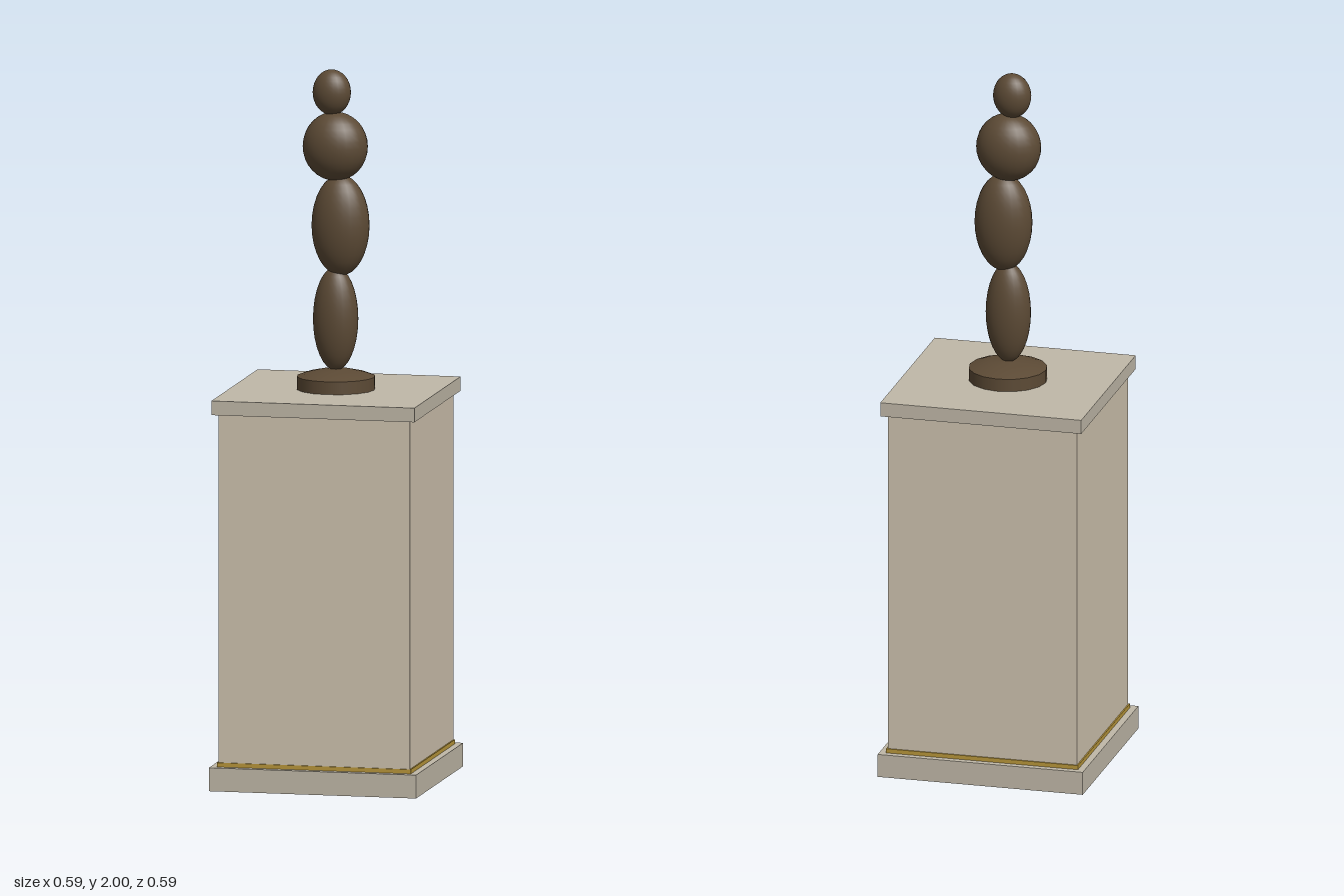
import * as THREE from 'three';

const mat = (color) => new THREE.MeshStandardMaterial({ color });

export function createModel() {
  const model = new THREE.Group();
  const stone = mat(0xc0b8a8), panel = mat(0xcec2ae), gold = mat(0xb8963a), bronze = mat(0x5c4a35);

  const add = (name, geometry, material, x = 0, y = 0) => {
    const mesh = new THREE.Mesh(geometry, material);
    mesh.name = name;
    mesh.position.set(x, y, 0);
    model.add(mesh);
    return mesh;
  };
  const slab = (name, half, y0, y1, material) =>
    add(name, new THREE.BoxGeometry(half * 2, y1 - y0, half * 2), material, 0, (y0 + y1) / 2);

  // Square pedestal
  slab('pedestalBase', 0.296, 0, 0.066, stone);
  slab('goldTrim', 0.277, 0.066, 0.078, gold);
  slab('pedestalShaft', 0.273, 0.078, 1.06, panel);
  slab('pedestalCap', 0.29, 1.06, 1.1, stone);

  // Round foot: straight rim and a shallow domed top
  add('footRim', new THREE.CylinderGeometry(0.11, 0.11, 0.036, 16), bronze, 0, 1.118);
  const dome = [[0.11, 1.136], [0.085, 1.145], [0.05, 1.153], [0, 1.158]]
    .map(([r, y]) => new THREE.Vector2(r, y));
  add('footDome', new THREE.LatheGeometry(dome, 16), bronze);

  // Stacked ellipsoids: name, x, y, then the three radii
  const stack = [
    ['lowerStone', -0.001, 1.298, 0.064, 0.146, 0.05],
    ['middleStone', 0.013, 1.562, 0.082, 0.142, 0.062],
    ['upperStone', -0.002, 1.784, 0.092, 0.097, 0.072],
    ['topStone', -0.012, 1.936, 0.054, 0.064, 0.043],
  ];
  for (const [name, x, y, rx, ry, rz] of stack) {
    add(name, new THREE.SphereGeometry(1, 24, 16).scale(rx, ry, rz), bronze, x, y);
  }
  return model;
}
